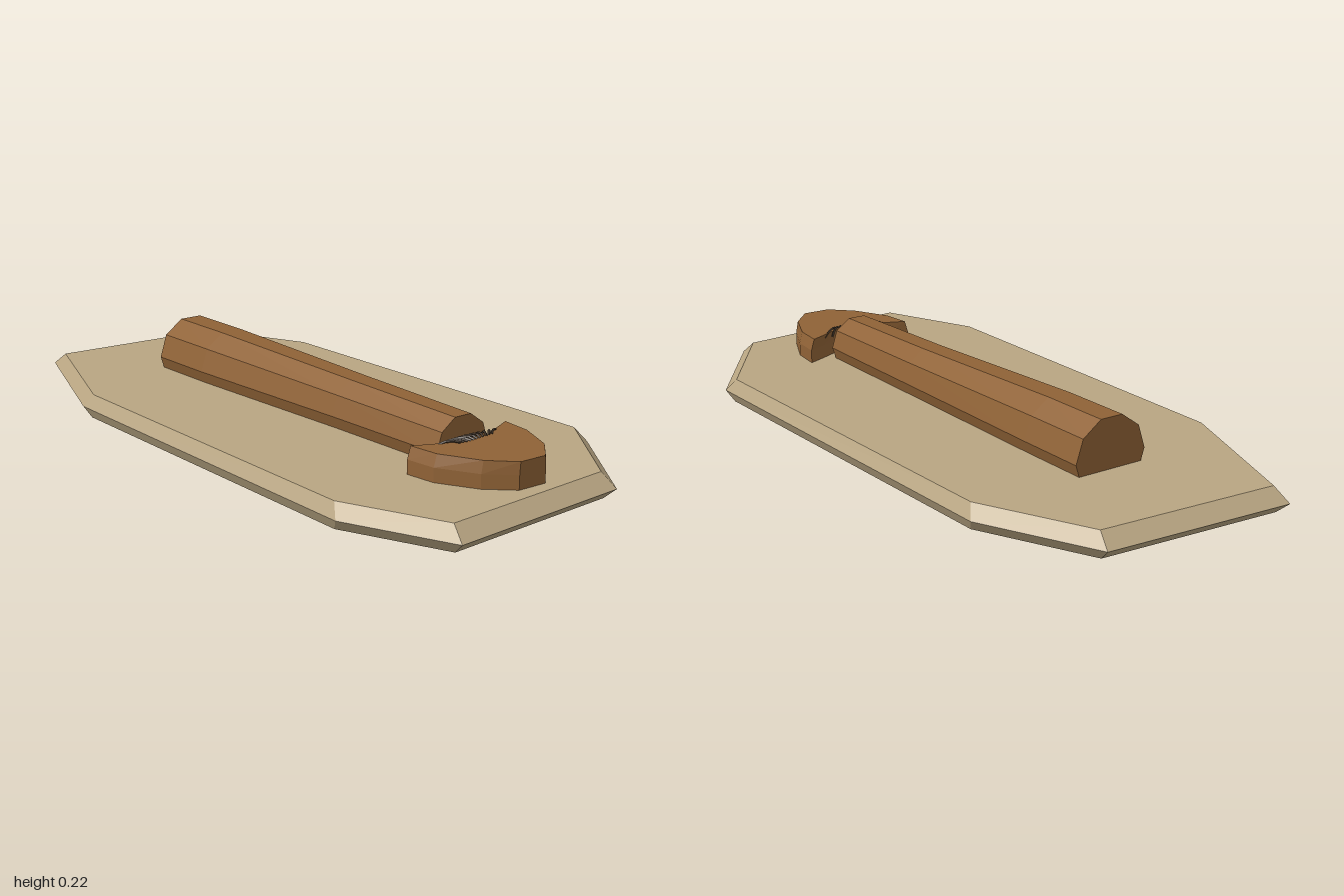
import * as THREE from 'three';

const material = (color) => new THREE.MeshStandardMaterial({ color, flatShading: true });

// Skin between matching rings of points, closed by a flat cap at each end.
// Rings run counter-clockwise when seen from the last ring's side.
function loft(rings, project) {
  const n = rings[0].length;
  const position = [];
  const tri = (...points) => points.forEach((p) => position.push(...p));
  for (let k = 0; k < rings.length - 1; k++) {
    for (let i = 0; i < n; i++) {
      const j = (i + 1) % n;
      const a = rings[k][i], b = rings[k][j], c = rings[k + 1][j], d = rings[k + 1][i];
      tri(a, b, c);
      tri(a, c, d);
    }
  }
  const first = rings[0], last = rings[rings.length - 1];
  const flat = last.map((p) => new THREE.Vector2(...project(p)));
  for (const [a, b, c] of THREE.ShapeUtils.triangulateShape(flat, [])) {
    tri(last[a], last[b], last[c]);
    tri(first[a], first[c], first[b]);
  }
  const geometry = new THREE.BufferGeometry();
  geometry.setAttribute('position', new THREE.Float32BufferAttribute(position, 3));
  geometry.computeVertexNormals();
  return geometry;
}

function add(group, name, geometry, mat) {
  const mesh = new THREE.Mesh(geometry, mat);
  mesh.name = name;
  group.add(mesh);
  return mesh;
}

export function createModel() {
  const model = new THREE.Group();
  const slabMat = material(0xb8a582);
  const woodMat = material(0x8f6236);
  const darkMat = material(0x45382c);
  const fromAbove = (p) => [p[0], -p[2]];
  const fromFront = (p) => [p[0], p[1]];

  // Irregular eight-sided slab, bevelled above and below its widest line
  const slabOutline = [
    [-0.34, 1.0], [0.24, 0.96], [0.473, 0.64], [0.45, -0.62],
    [0.29, -0.96], [-0.28, -1.0], [-0.46, -0.52], [-0.473, 0.69],
  ];
  const slabRings = [[0.004, 0.962], [0.037, 1], [0.075, 0.952]].map(
    ([y, s]) => slabOutline.map(([x, z]) => [x * s, y, z * s]));
  add(model, 'baseSlab', loft(slabRings, fromAbove), slabMat);

  // Tapered ten-sided shaft: z, centre x, radius
  const shaftRings = [
    [-0.62, 0, 0.1163], [-0.4, 0.001, 0.1155], [0.2, 0.01, 0.0985], [0.62, 0.013, 0.091],
  ].map(([z, cx, r]) => Array.from({ length: 10 }, (_, i) => {
    const a = (i / 10) * Math.PI * 2;
    return [cx + r * Math.cos(a), 0.11 + r * Math.sin(a), z];
  }));
  add(model, 'shaft', loft(shaftRings, fromFront), woodMat);

  // Rounded end block with a hollow back edge
  const blockOutline = [
    [-0.18, 0.62], [-0.17, 0.71], [-0.11, 0.82], [-0.04, 0.885], [0.05, 0.888],
    [0.12, 0.82], [0.17, 0.71], [0.18, 0.62], [0.12, 0.645],
    [0.06, 0.672], [0, 0.682], [-0.06, 0.672], [-0.12, 0.645],
  ];
  const blockRings = [[0.05, 1], [0.115, 1], [0.15, 0.94]].map(
    ([y, s]) => blockOutline.map(([x, z]) => [x * s, y, z]));
  add(model, 'endBlock', loft(blockRings, fromAbove), woodMat);

  // Fan of thin fibres curling over the hollow edge towards the shaft
  const fibres = new THREE.Group();
  fibres.name = 'fibres';
  const count = 11;
  for (let i = 0; i < count; i++) {
    const t = (i / (count - 1)) * 2 - 1;
    const curve = new THREE.QuadraticBezierCurve3(
      new THREE.Vector3(0.055 * t, 0.152, 0.69 - 0.006 * t * t),
      new THREE.Vector3(0.085 * t, 0.165, 0.665 - 0.006 * t * t),
      new THREE.Vector3(0.115 * t, 0.138, 0.625 + 0.022 * t * t));
    add(fibres, 'fibre', new THREE.TubeGeometry(curve, 4, 0.0035, 4), darkMat);
  }
  model.add(fibres);

  return model;
}
